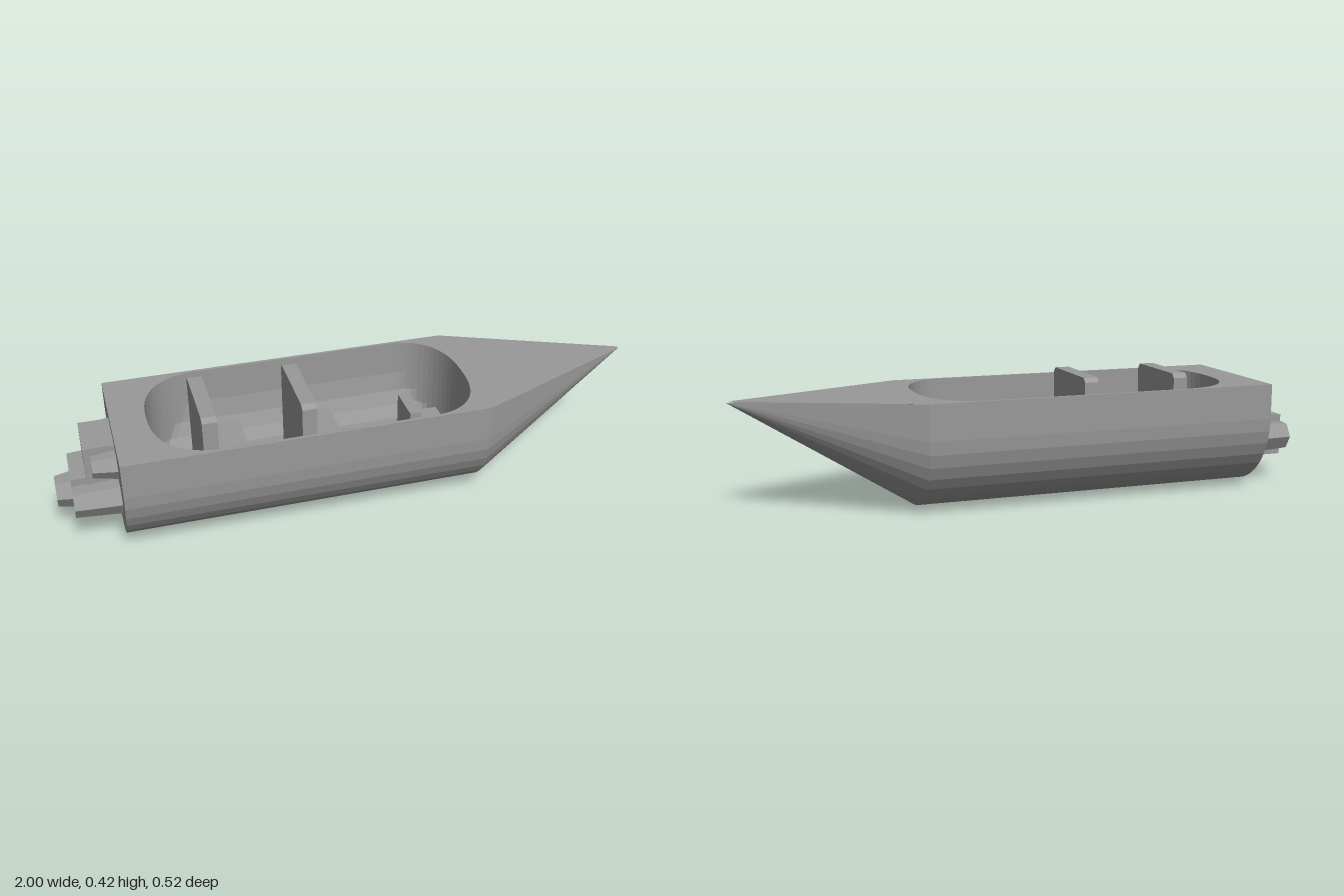
import * as THREE from 'three';

const W = 0.26, DECK = 0.38, FLOOR = 0.1;
const STERN = -0.8, SHOULDER = 0.41, BOW = 1;

// Half-width of the round-bottomed hull at height y
const halfWidth = (y) => (y >= W ? W : Math.sqrt(W * W - (W - y) ** 2));

// Ruled surface between consecutive cross-section loops
function loft(sections) {
  const pos = [], idx = [], n = sections[0].length;
  sections.forEach((s) => s.forEach((p) => pos.push(...p)));
  for (let s = 0; s < sections.length - 1; s++) {
    for (let i = 0; i < n - 1; i++) {
      const a = s * n + i, b = a + n;
      idx.push(a, a + 1, b, a + 1, b + 1, b);
    }
  }
  const g = new THREE.BufferGeometry();
  g.setAttribute('position', new THREE.Float32BufferAttribute(pos, 3));
  g.setIndex(idx);
  g.computeVertexNormals();
  return g;
}

// U-shaped hull section as [z, y], from the left gunwale round to the right
function hullProfile() {
  const pts = [[W, DECK]];
  const n = 18;
  for (let i = 0; i <= n; i++) {
    const a = (i / n) * Math.PI;
    pts.push([W * Math.cos(a), W - W * Math.sin(a)]);
  }
  pts.push([-W, DECK]);
  return pts;
}

// Cockpit opening: a long oval with a rounder stern end
function cockpitOutline(limit) {
  const pts = [];
  const n = 56;
  for (let i = 0; i < n; i++) {
    const a = (i / n) * Math.PI * 2, c = Math.cos(a), s = Math.sin(a);
    const x = c >= 0 ? 0.2 + 0.2 * c ** 0.8 : -0.45 - 0.235 * (-c) ** 0.8;
    const z = 0.25 * Math.sign(s) * Math.abs(s) ** 0.8;
    pts.push(new THREE.Vector2(x, THREE.MathUtils.clamp(z, -limit, limit)));
  }
  return pts;
}

export function createModel() {
  const boat = new THREE.Group();
  boat.name = 'speedboat';
  const grey = new THREE.MeshStandardMaterial({
    color: 0x999999, flatShading: true, side: THREE.DoubleSide,
  });
  grey.name = 'grey';

  const add = (name, geo, parent = boat) => {
    const m = new THREE.Mesh(geo, grey);
    m.name = name;
    parent.add(m);
    return m;
  };
  // Box given by its limits on each axis
  const box = (name, x0, x1, y0, y1, z0, z1, parent) => {
    const m = add(name, new THREE.BoxGeometry(x1 - x0, y1 - y0, z1 - z0), parent);
    m.position.set((x0 + x1) / 2, (y0 + y1) / 2, (z0 + z1) / 2);
    return m;
  };

  // Hull sides and the pointed bow
  const profile = hullProfile();
  const at = (x) => profile.map(([z, y]) => [x, y, z]);
  add('hull', loft([at(STERN), at(SHOULDER)]));
  add('bow', loft([at(SHOULDER), profile.map(() => [BOW, DECK - 0.005, 0])]));

  // Flat transom
  const transom = new THREE.ShapeGeometry(
    new THREE.Shape(profile.map(([z, y]) => new THREE.Vector2(z, y))));
  transom.rotateY(-Math.PI / 2);
  add('transom', transom).position.x = STERN;

  // Deck with the cockpit cut out
  const deckShape = new THREE.Shape([
    [STERN, -W], [SHOULDER, -W], [BOW, 0], [SHOULDER, W], [STERN, W],
  ].map(([x, z]) => new THREE.Vector2(x, z)));
  deckShape.holes.push(new THREE.Path(cockpitOutline(1)));
  const deck = new THREE.ShapeGeometry(deckShape);
  deck.rotateX(-Math.PI / 2);
  add('deck', deck).position.y = DECK;

  // Cockpit lining follows the hull down to the floor
  const rings = [DECK, 0.26, 0.19, 0.14, FLOOR].map((y) => {
    const ring = cockpitOutline(halfWidth(y) - 0.012).map((p) => [p.x, y, p.y]);
    return [...ring, ring[0]];
  });
  add('cockpitWall', loft(rings));
  const floor = new THREE.ShapeGeometry(
    new THREE.Shape(cockpitOutline(halfWidth(FLOOR) - 0.012)));
  floor.rotateX(-Math.PI / 2);
  add('cockpitFloor', floor).position.y = FLOOR;

  // Bench seats facing the bow
  [['frontSeat', -0.2, -0.155, 0.14], ['rearSeat', -0.525, -0.16, 0.13]].forEach(([name, x, z0, z1]) => {
    const seat = new THREE.Group();
    seat.name = name;
    boat.add(seat);
    // backrest with clipped top corners
    const c = 0.015, y0 = FLOOR, y1 = 0.418;
    const back = new THREE.ExtrudeGeometry(new THREE.Shape([
      [z0, y0], [z1, y0], [z1, y1 - c], [z1 - c, y1], [z0 + c, y1], [z0, y1 - c],
    ].map(([z, y]) => new THREE.Vector2(-z, y))), { depth: 0.05, bevelEnabled: false });
    back.rotateY(Math.PI / 2);
    add('backrest', back, seat).position.x = x;
    box('cushion', x + 0.05, x + 0.17, FLOOR, 0.21, z0, z1, seat);
  });

  // Small console near the bow
  const console_ = new THREE.Group();
  console_.name = 'console';
  boat.add(console_);
  box('consolePanel', 0.2, 0.24, FLOOR, 0.27, -0.08, 0.055, console_);
  box('consoleBase', 0.24, 0.34, FLOOR, 0.2, -0.07, 0.05, console_);

  // Stern engine: upper housing, two side pods and a central nozzle
  const engine = new THREE.Group();
  engine.name = 'engine';
  boat.add(engine);
  const pod = (name, x, r0, r1, y, z, sides) => {
    const g = new THREE.CylinderGeometry(r0, r1, STERN - x, sides);
    g.rotateZ(Math.PI / 2);
    add(name, g, engine).position.set((x + STERN) / 2, y, z);
  };
  box('engineHousing', -0.9, STERN, 0.2, 0.345, -0.085, 0.08, engine);
  box('engineBlock', -0.95, STERN, 0.09, 0.235, -0.08, 0.075, engine);
  pod('nozzle', -1, 0.05, 0.085, 0.15, 0, 6);
  [-1, 1].forEach((s) => {
    pod(s < 0 ? 'rightPod' : 'leftPod', -0.95, 0.05, 0.06, 0.165, s * 0.1, 6);
    pod(s < 0 ? 'rightUpperPod' : 'leftUpperPod', -0.88, 0.035, 0.05, 0.285, s * 0.095, 6);
  });

  return boat;
}
